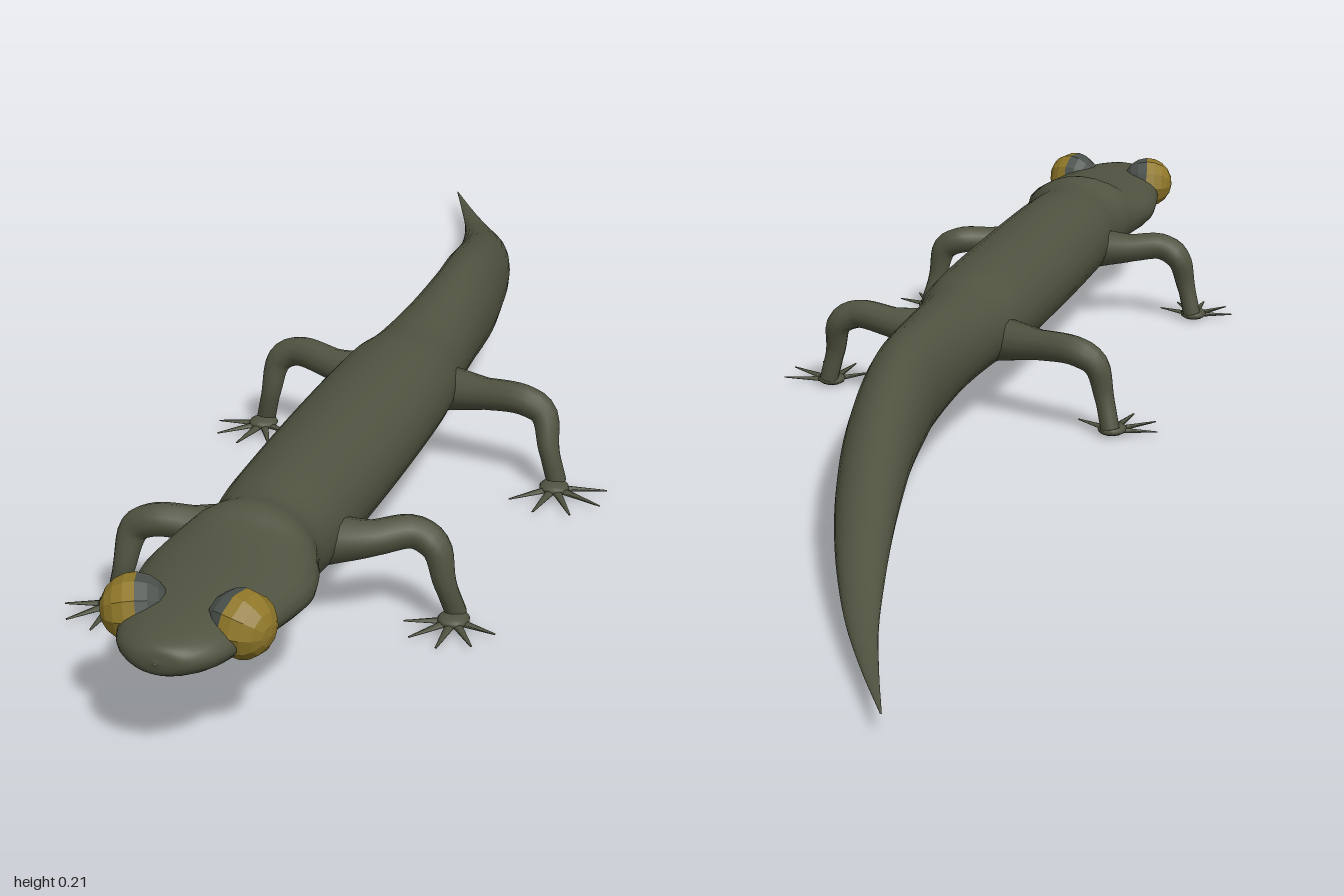
import * as THREE from 'three';

const skin = new THREE.MeshStandardMaterial({ color: 0x505340 });
skin.name = 'olive skin';
const gold = new THREE.MeshStandardMaterial({ color: 0x8f7729, flatShading: true });
gold.name = 'gold eye';
const lid = new THREE.MeshStandardMaterial({ color: 0x4a504b, flatShading: true });
lid.name = 'grey eyelid';

const V = (x, y, z) => new THREE.Vector3(x, y, z);

function add(parent, name, geometry, material) {
  const mesh = new THREE.Mesh(geometry, material);
  mesh.name = name;
  parent.add(mesh);
  return mesh;
}

// Smooth skin through elliptical sections: [z, centre x, top y, bottom y, half width]
function loft(sections, steps, sides) {
  const smooth = pts => new THREE.CatmullRomCurve3(pts, false, 'catmullrom', 0.5);
  const centre = smooth(sections.map(([z, x, t, b]) => V(x, (t + b) / 2, z)));
  const size = smooth(sections.map(([z, , t, b, w]) => V(w, (t - b) / 2, z)));
  const pos = [], index = [];
  for (let i = 0; i <= steps; i++) {
    const c = centre.getPoint(i / steps), s = size.getPoint(i / steps);
    for (let j = 0; j < sides; j++) {
      const a = (j / sides) * Math.PI * 2;
      pos.push(c.x + s.x * Math.cos(a), c.y + s.y * Math.sin(a), c.z);
      if (i < steps) {
        const p = i * sides + j, q = i * sides + (j + 1) % sides;
        index.push(p, p + sides, q, q, p + sides, q + sides);
      }
    }
  }
  const g = new THREE.BufferGeometry();
  g.setAttribute('position', new THREE.Float32BufferAttribute(pos, 3));
  g.setIndex(index);
  g.computeVertexNormals();
  return g;
}

// Tube whose radius follows a list of values along its length
function taperedTube(points, radii) {
  const curve = new THREE.CatmullRomCurve3(points);
  const g = new THREE.TubeGeometry(curve, 28, 1, 12);
  const p = g.attributes.position, uv = g.attributes.uv, v = V(0, 0, 0);
  for (let i = 0; i < p.count; i++) {
    const u = uv.getX(i), c = curve.getPointAt(u);
    const k = Math.min(u * (radii.length - 1), radii.length - 1.001), n = Math.floor(k);
    const r = THREE.MathUtils.lerp(radii[n], radii[n + 1], k - n);
    v.fromBufferAttribute(p, i).sub(c).multiplyScalar(r).add(c);
    p.setXYZ(i, v.x, v.y, v.z);
  }
  return g;
}

// Bent leg with a palm and five fanned toes; turn is the heading of the foot
function makeLeg(name, side, rootZ, kneeZ, footX, footZ, turn, reach) {
  const leg = new THREE.Group();
  leg.name = name;
  const kneeX = footX - 0.032;
  add(leg, 'limb', taperedTube([
    V(side * 0.045, 0.118, rootZ),
    V(side * 0.11, 0.12, rootZ * 0.6 + kneeZ * 0.4),
    V(side * (kneeX - 0.02), 0.124, kneeZ),
    V(side * (kneeX + 0.008), 0.108, kneeZ),
    V(side * (footX - 0.012), 0.06, (kneeZ + footZ) / 2),
    V(side * footX, 0.012, footZ - 0.012),
  ], [0.036, 0.029, 0.023, 0.022, 0.021, 0.017, 0.014, 0.014]), skin);

  const foot = new THREE.Group();
  foot.name = 'foot';
  foot.position.set(side * footX, 0.009, footZ);
  foot.rotation.y = turn;
  leg.add(foot);
  add(foot, 'palm', new THREE.SphereGeometry(0.021, 12, 8), skin).scale.set(1, 0.42, 1.1);
  [-1.25, -0.6, 0, 0.6, 1.25].forEach((angle, i) => {
    const length = reach * [0.88, 1, 1.06, 1, 0.88][i];
    const g = new THREE.CylinderGeometry(0.0015, 0.008, length, 6);
    g.translate(0, length / 2, 0).rotateX(Math.PI / 2).scale(1, 0.6, 1);
    const toe = add(foot, 'toe', g, skin);
    toe.position.y = -0.002;
    toe.rotation.y = angle;
  });
  return leg;
}

// Faceted eye: gold outer face, grey inner face
function makeEye(name, side) {
  const eye = new THREE.Group();
  eye.name = name;
  const split = 1.7;
  add(eye, 'iris', new THREE.SphereGeometry(0.042, 10, 5, 0, Math.PI * 2, 0, split), gold);
  add(eye, 'eyelid', new THREE.SphereGeometry(0.042, 10, 4, 0, Math.PI * 2, split, Math.PI - split), lid);
  eye.position.set(side * 0.066, 0.156, 0.9);
  eye.quaternion.setFromUnitVectors(V(0, 1, 0), V(side, -0.1, 0.3).normalize());
  return eye;
}

export function createModel() {
  const model = new THREE.Group();
  model.name = 'lizard';

  // Head, trunk and curving tail in one skin
  add(model, 'body', loft([
    [1.0, 0, 0.146, 0.144, 0.001],
    [0.993, 0, 0.163, 0.127, 0.034],
    [0.965, 0, 0.171, 0.117, 0.062],
    [0.92, 0, 0.177, 0.111, 0.079],
    [0.85, 0, 0.182, 0.102, 0.097],
    [0.78, 0, 0.187, 0.093, 0.108],
    [0.735, 0, 0.195, 0.087, 0.101],
    [0.7, 0, 0.209, 0.074, 0.088],
    [0.655, 0, 0.203, 0.061, 0.078],
    [0.57, 0, 0.206, 0.06, 0.084],
    [0.35, 0, 0.206, 0.06, 0.088],
    [0.14, 0, 0.204, 0.061, 0.084],
    [0.05, 0, 0.196, 0.066, 0.071],
    [-0.07, 0, 0.198, 0.063, 0.06],
    [-0.2, -0.005, 0.2, 0.052, 0.054],
    [-0.3, -0.018, 0.189, 0.048, 0.052],
    [-0.4, -0.035, 0.166, 0.045, 0.049],
    [-0.5, -0.058, 0.137, 0.04, 0.045],
    [-0.6, -0.086, 0.106, 0.036, 0.039],
    [-0.7, -0.119, 0.075, 0.03, 0.031],
    [-0.8, -0.157, 0.048, 0.025, 0.021],
    [-0.9, -0.203, 0.033, 0.024, 0.011],
    [-1.0, -0.252, 0.028, 0.026, 0.001],
  ], 132, 24), skin);

  // Eyes on both sides of the head
  for (const side of [1, -1]) model.add(makeEye(side > 0 ? 'leftEye' : 'rightEye', side));

  // Legs in a walking pose
  model.add(
    makeLeg('frontLeftLeg', 1, 0.595, 0.55, 0.213, 0.55, 0, 0.072),
    makeLeg('frontRightLeg', -1, 0.595, 0.615, 0.215, 0.635, 0, 0.072),
    makeLeg('backLeftLeg', 1, 0.08, 0.105, 0.232, 0.13, 0.5, 0.084),
    makeLeg('backRightLeg', -1, 0.075, 0.03, 0.236, 0.04, -0.15, 0.075),
  );
  return model;
}
